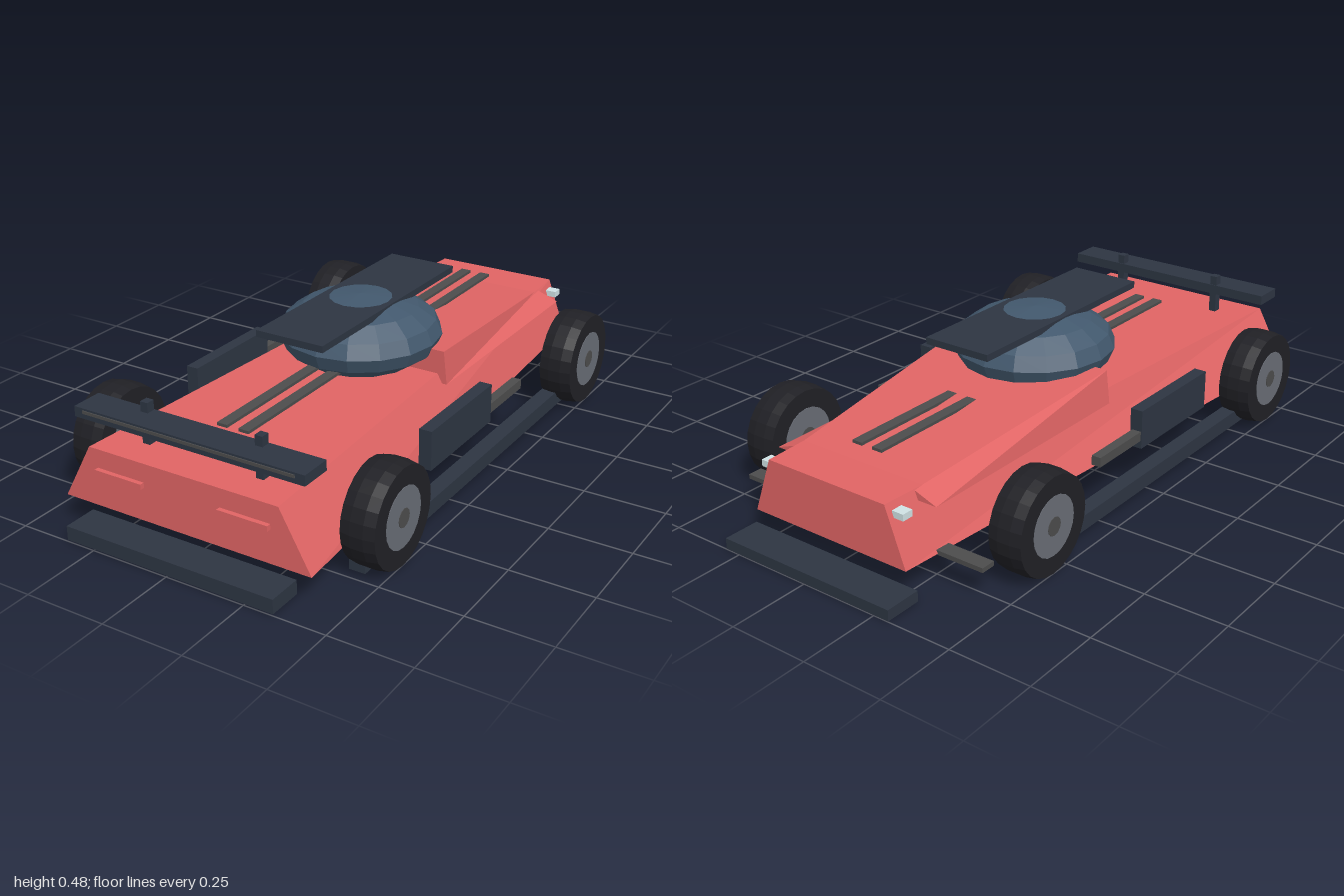
import * as THREE from 'three';

const mat = (color) => new THREE.MeshStandardMaterial({ color, flatShading: true });

export function createModel() {
  const car = new THREE.Group();
  car.name = 'raceCar';
  const red = mat(0xe06464), dark = mat(0x2d3542), glass = mat(0x42586d);
  const rubber = mat(0x202025), rim = mat(0x686c75), grey = mat(0x4c4c4c), lamp = mat(0xcfe2e4);

  const add = (name, geometry, material) => {
    const mesh = new THREE.Mesh(geometry, material);
    mesh.name = name;
    car.add(mesh);
    return mesh;
  };

  // Box given by its limits on each axis
  const box = (name, material, [x0, x1], [y0, y1], [z0, z1]) => {
    const mesh = add(name, new THREE.BoxGeometry(x1 - x0, y1 - y0, z1 - z0), material);
    mesh.position.set((x0 + x1) / 2, (y0 + y1) / 2, (z0 + z1) / 2);
    return mesh;
  };

  // The same box on both sides
  const pair = (name, material, [x0, x1], y, z) => {
    box(name + 'Left', material, [x0, x1], y, z);
    box(name + 'Right', material, [-x1, -x0], y, z);
  };

  // Trapezoid block lofted between a front and a rear section
  const wedge = (name, material, front, rear) => {
    const geometry = new THREE.BoxGeometry(2, 2, 2);
    const p = geometry.attributes.position;
    for (let i = 0; i < p.count; i++) {
      const s = p.getZ(i) > 0 ? front : rear;
      const top = p.getY(i) > 0;
      p.setXYZ(i, p.getX(i) * (top ? s.topHalf : s.bottomHalf), top ? s.top : s.bottom, s.z);
    }
    geometry.computeVertexNormals();
    return add(name, geometry, material);
  };

  // Body and raised cowl
  wedge('hull', red,
    { z: 0.92, bottom: 0.09, top: 0.265, bottomHalf: 0.407, topHalf: 0.31 },
    { z: -0.9, bottom: 0.09, top: 0.265, bottomHalf: 0.275, topHalf: 0.21 });
  wedge('cowl', red,
    { z: 0.01, bottom: 0.235, top: 0.34, bottomHalf: 0.292, topHalf: 0.28 },
    { z: -0.79, bottom: 0.235, top: 0.262, bottomHalf: 0.29, topHalf: 0.215 });

  // Canopy, roof panel and spine strips
  const canopy = add('canopy', new THREE.SphereGeometry(1, 16, 8), glass);
  canopy.scale.set(0.25, 0.117, 0.253);
  canopy.position.set(0, 0.36, 0.027);
  box('roofPanel', dark, [-0.113, 0.113], [0.447, 0.468], [-0.35, 0.413]);
  pair('spineStrip', grey, [0.019, 0.053], [0.298, 0.307], [-0.735, 0.688]);

  // Upper wing on two posts
  box('wing', dark, [-0.375, 0.375], [0.329, 0.36], [0.797, 0.895]);
  box('wingSlat', grey, [-0.345, 0.345], [0.345, 0.354], [0.85, 0.898]);
  pair('wingPost', dark, [0.176, 0.2], [0.26, 0.39], [0.8, 0.827]);

  // Low end plates
  box('frontSplitter', dark, [-0.342, 0.342], [0.005, 0.048], [0.893, 1]);
  box('rearSplitter', dark, [-0.3, 0.3], [0.002, 0.035], [-1, -0.885]);

  // Side rails, pods, pipes and rear struts
  pair('sideRail', dark, [0.4, 0.45], [0.015, 0.063], [-0.62, 0.735]);
  pair('sidePod', dark, [0.388, 0.428], [0.135, 0.257], [-0.02, 0.347]);
  pair('sidePipe', grey, [0.395, 0.425], [0.16, 0.19], [-0.232, 0]);
  pair('rearStrut', grey, [0.25, 0.434], [0.086, 0.1], [-0.782, -0.735]);

  // Lamps
  pair('rearLamp', lamp, [0.22, 0.258], [0.224, 0.244], [-0.883, -0.847]);
  pair('frontLamp', red, [0.125, 0.284], [0.192, 0.208], [0.91, 0.934]);

  // Wheels: bevelled tyre with a rim disc and centre cap
  const tyreProfile = [[0, -0.052], [0.146, -0.052], [0.152, -0.02], [0.152, 0.02], [0.146, 0.053], [0, 0.053]]
    .map(([r, h]) => new THREE.Vector2(r, h));
  const layers = [
    ['tyre', new THREE.LatheGeometry(tyreProfile, 24), rubber],
    ['rim', new THREE.CylinderGeometry(0.09, 0.09, 0.109, 20), rim],
    ['centreCap', new THREE.CylinderGeometry(0.028, 0.028, 0.112, 12), grey],
  ];
  for (const side of [1, -1]) {
    for (const [end, z] of [['front', 0.635], ['rear', -0.57]]) {
      const wheel = new THREE.Group();
      wheel.name = end + 'Wheel' + (side > 0 ? 'Left' : 'Right');
      for (const [name, geometry, material] of layers) {
        const mesh = new THREE.Mesh(geometry, material);
        mesh.name = name;
        wheel.add(mesh);
      }
      wheel.rotation.z = -side * Math.PI / 2;
      wheel.position.set(side * 0.453, 0.152, z);
      car.add(wheel);
    }
  }
  return car;
}
